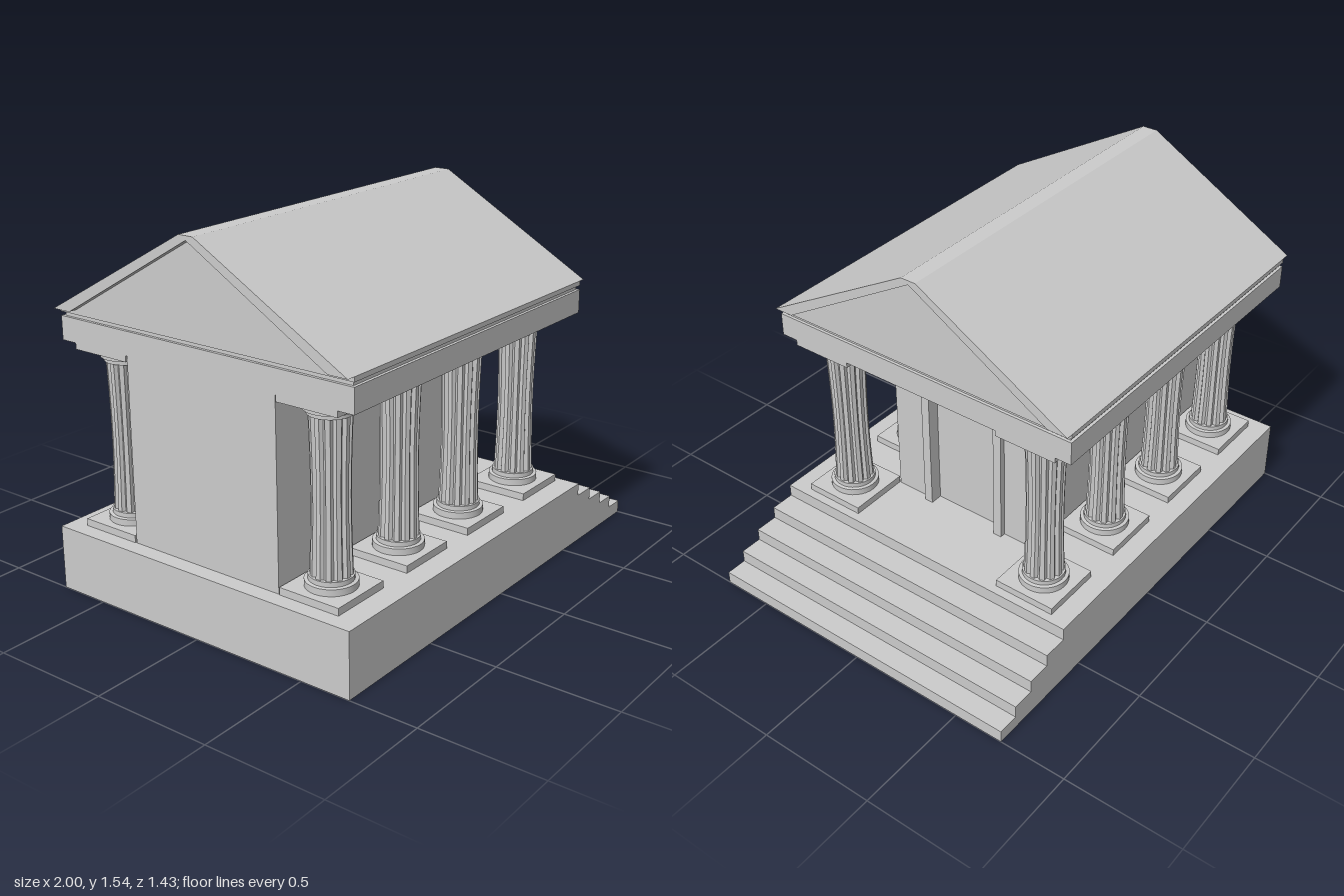
import * as THREE from 'three';
import { toCreasedNormals } from 'three/addons/utils/BufferGeometryUtils.js';

const stone = new THREE.MeshStandardMaterial({ color: 0xcccccc });

function add(parent, name, geometry) {
  const mesh = new THREE.Mesh(geometry, stone);
  mesh.name = name;
  parent.add(mesh);
  return mesh;
}

// Box given by its extents
function block(parent, name, x0, x1, y0, y1, z0, z1) {
  const mesh = add(parent, name, new THREE.BoxGeometry(x1 - x0, y1 - y0, z1 - z0));
  mesh.position.set((x0 + x1) / 2, (y0 + y1) / 2, (z0 + z1) / 2);
  return mesh;
}

function extrude(points, depth, steps = 1) {
  const shape = new THREE.Shape(points.map(([x, y]) => new THREE.Vector2(x, y)));
  return new THREE.ExtrudeGeometry(shape, { depth, steps, bevelEnabled: false });
}

// Profile drawn in (z, y), extruded along x
function alongX(parent, name, points, x0, x1) {
  const geometry = extrude(points.map(([z, y]) => [-z, y]), x1 - x0);
  geometry.rotateY(Math.PI / 2);
  geometry.translate(x0, 0, 0);
  return add(parent, name, geometry);
}

// Fluted shaft, slightly waisted at mid height
function shaftGeometry(y0, y1) {
  const flutes = 12, ridge = 0.45, points = [];
  for (let i = 0; i < flutes; i++) {
    const step = (Math.PI * 2) / flutes;
    const start = (i - ridge / 2) * step;
    const at = (f, r) => points.push([r * Math.cos(start + f * step), r * Math.sin(start + f * step)]);
    at(0, 0.08);
    at(ridge, 0.08);
    for (const t of [0.2, 0.5, 0.8]) {
      at(ridge + t * (1 - ridge), 0.08 - 0.012 * Math.sin(Math.PI * t));
    }
  }
  const height = y1 - y0;
  const geometry = extrude(points, height, 10);
  geometry.rotateX(-Math.PI / 2);
  const p = geometry.attributes.position;
  for (let i = 0; i < p.count; i++) {
    const s = 1 - 0.09 * Math.sin((Math.PI * p.getY(i)) / height);
    p.setXYZ(i, p.getX(i) * s, p.getY(i) + y0, p.getZ(i) * s);
  }
  return toCreasedNormals(geometry, 0.5);
}

// Round moulding made of two stacked drums
function ringGeometry(profile) {
  const lathe = new THREE.LatheGeometry(profile.map(([r, y]) => new THREE.Vector2(r, y)), 32);
  return toCreasedNormals(lathe, 0.6);
}

export function createModel() {
  const model = new THREE.Group();
  model.name = 'temple';

  // Platform with steps down at the entrance end (+x)
  const profile = [[-1, 0], [1, 0]];
  const stepEnds = [1, 0.91, 0.815, 0.715, 0.61];
  const rise = 0.268 / stepEnds.length;
  stepEnds.forEach((x, i) => {
    profile.push([x, (i + 1) * rise]);
    if (i < stepEnds.length - 1) profile.push([stepEnds[i + 1], (i + 1) * rise]);
  });
  profile.push([-1, 0.268]);
  const platform = add(model, 'steppedPlatform', extrude(profile, 1.43));
  platform.position.z = -0.715;

  const hall = new THREE.Group();
  hall.name = 'building';
  hall.position.z = -0.006;
  model.add(hall);

  // Inner chamber with a doorway niche in its +x wall
  const plan = [[-0.935, -0.356], [0.31, -0.356], [0.31, -0.162], [0.28, -0.162],
    [0.28, 0.162], [0.31, 0.162], [0.31, 0.356], [-0.935, 0.356]];
  const chamber = extrude(plan, 0.665);
  chamber.rotateX(-Math.PI / 2);
  add(hall, 'chamberWalls', chamber).position.y = 0.27;
  block(hall, 'chamberTop', -0.935, 0.31, 0.935, 1.028, -0.356, 0.356);

  // Door surround
  alongX(hall, 'doorFrame', [[-0.2, 0.27], [-0.2, 0.97], [0.2, 0.97], [0.2, 0.27],
    [0.162, 0.27], [0.162, 0.935], [-0.162, 0.935], [-0.162, 0.27]], 0.31, 0.334);

  // Columns, four on each long side
  const shaft = shaftGeometry(0.34, 0.965);
  const base = ringGeometry([[0, 0.3], [0.1, 0.3], [0.1, 0.327], [0.086, 0.329], [0.086, 0.348], [0, 0.348]]);
  const capital = ringGeometry([[0, 0.957], [0.086, 0.957], [0.086, 0.973], [0.1, 0.975], [0.1, 1.002], [0, 1.002]]);
  for (const x of [-0.805, -0.392, 0.02, 0.442]) {
    for (const z of [-0.494, 0.494]) {
      const column = new THREE.Group();
      column.name = 'column';
      column.position.set(x, 0, z);
      block(column, 'plinth', -0.133, 0.133, 0.27, 0.3, -0.133, 0.133);
      add(column, 'columnBase', base);
      add(column, 'flutedShaft', shaft);
      add(column, 'capital', capital);
      block(column, 'abacus', -0.133, 0.133, 1.002, 1.028, -0.133, 0.133);
      hall.add(column);
    }
  }

  // Entablature
  block(hall, 'architrave', -0.938, 0.577, 1.027, 1.124, -0.697, 0.697);
  block(hall, 'frieze', -0.926, 0.565, 1.124, 1.141, -0.685, 0.685);
  block(hall, 'cornice', -0.938, 0.577, 1.141, 1.16, -0.697, 0.697);

  // Gabled roof shell, overhanging the recessed gable walls
  alongX(hall, 'roof', [[-0.697, 1.16], [-0.033, 1.537], [0.033, 1.537], [0.697, 1.16],
    [0.613, 1.16], [0, 1.52], [-0.613, 1.16]], -0.973, 0.604);
  alongX(hall, 'gableWalls', [[-0.613, 1.16], [0, 1.52], [0.613, 1.16]], -0.938, 0.577);

  return model;
}
